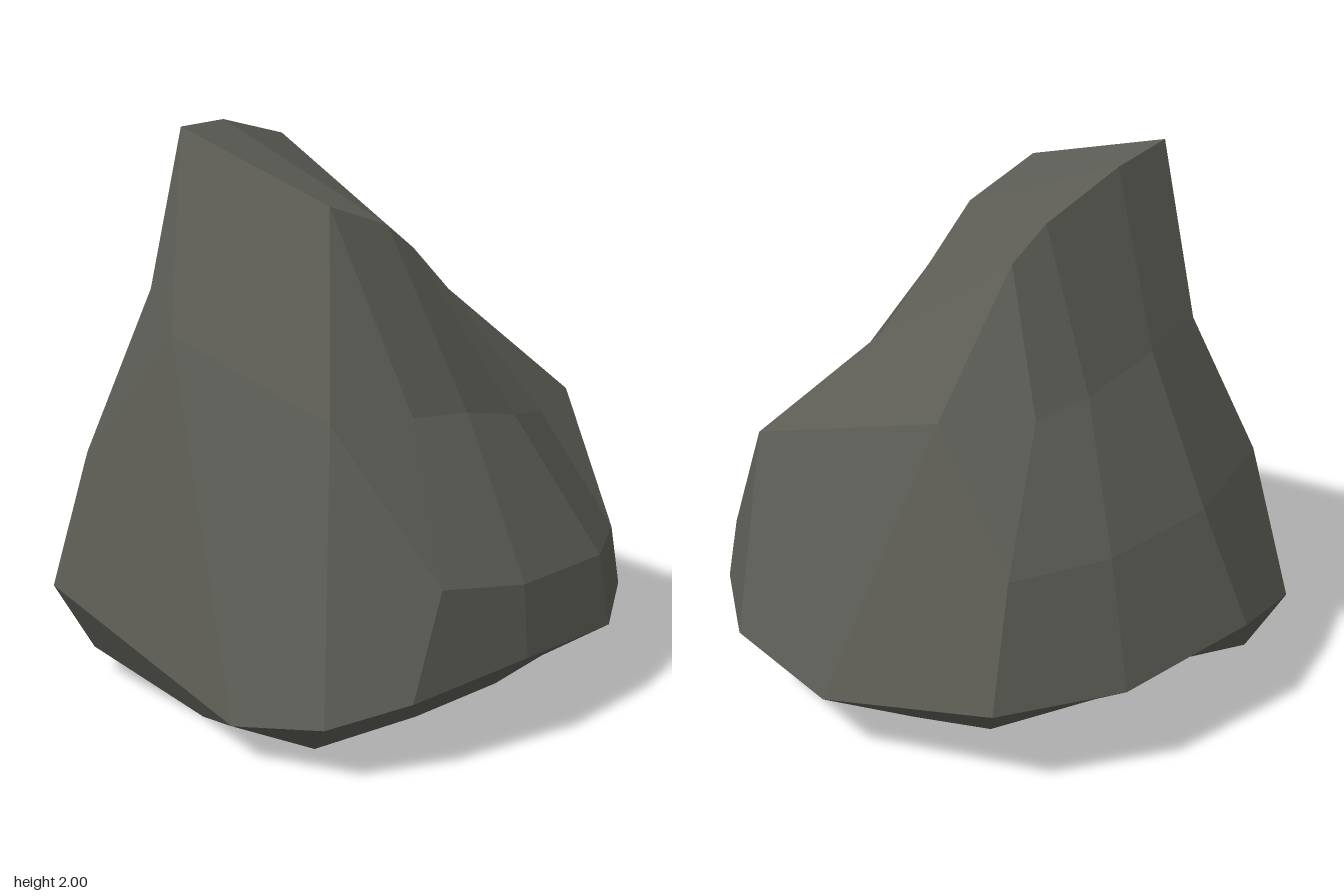
import * as THREE from 'three';

// Cross-section loops, running from the front left corner round the back to the front middle
const rim = [
  [.5, .22, .82], [.69, .28, .6], [.87, .345, .2], [.92, .32, -.25], [.75, .31, -.62], [.4, .31, -.85],
  [-.06, .25, -.86], [-.66, .36, -.65], [-.88, .38, -.25], [-.92, .42, .31], [-.81, .35, .67], [.15, .15, .855],
];
const under = [
  [.31, .02, .62], [.6, .155, .45], [.73, .205, .17], [.71, .18, -.16], [.64, .16, -.5], [.3, .15, -.62],
  [-.25, .16, -.62], [-.55, .22, -.55], [-.7, .25, -.2], [-.72, .23, .25], [-.69, .12, .6], [-.17, 0, .62],
];
const floor = [[.36, .14, .3], [-.46, .15, .38]];

// Crest edges, front to back
const crestLeft = [[.23, 1.81, .42], [.25, 1.7, .13], [.17, 1.56, -.14], [.17, 1.37, -.36], [.49, .99, -.65]];
const crestRight = [[-.38, 2, .42], [-.43, 1.98, .14], [-.45, 1.88, -.21], [-.42, 1.77, -.33], [-.33, 1.27, -.57]];

// Flank rows, front to back
const leftFront = [.37, 1.16, .61];
const leftMid = [[.51, 1.14, .35], [.58, 1.12, .14], [.6, 1.05, -.12], [.58, 1, -.33]];
const leftLow = [[.73, .65, .5], [.85, .6, .2], [.88, .57, -.24], [.73, .53, -.59]];
const rightFront = [-.27, 1.35, .62];
const rightMid = [[-.55, 1.42, .4], [-.6, 1.39, .14], [-.6, 1.32, -.16], [-.55, 1.28, -.35]];
const rightLow = [[-.64, .88, .65], [-.8, .86, .2], [-.78, .83, -.23], [-.66, .83, -.58]];

// Quads joining two rows of equal length
const strip = (a, b) => a.slice(1).map((p, i) => [a[i], p, b[i + 1], b[i]]);

// Mesh of polygons, each with one flat normal and turned to face away from the middle
function facets(name, polygons, material) {
  const middle = new THREE.Vector3(0, .6, 0);
  const positions = [];
  const normals = [];
  for (const polygon of polygons) {
    const p = polygon.map((c) => new THREE.Vector3(...c));
    // Quads fold along their shorter diagonal
    if (p.length === 4 && p[1].distanceTo(p[3]) < p[0].distanceTo(p[2])) p.push(p.shift());
    const normal = new THREE.Vector3();
    for (let i = 2; i < p.length; i++) {
      normal.add(p[i - 1].clone().sub(p[0]).cross(p[i].clone().sub(p[0])));
    }
    normal.normalize();
    const centre = p.reduce((s, v) => s.add(v), new THREE.Vector3()).divideScalar(p.length);
    if (normal.dot(centre.sub(middle)) < 0) {
      p.reverse();
      p.unshift(p.pop());
      normal.negate();
    }
    for (let i = 2; i < p.length; i++) {
      for (const v of [p[0], p[i - 1], p[i]]) {
        positions.push(...v.toArray());
        normals.push(...normal.toArray());
      }
    }
  }
  const geometry = new THREE.BufferGeometry();
  geometry.setAttribute('position', new THREE.Float32BufferAttribute(positions, 3));
  geometry.setAttribute('normal', new THREE.Float32BufferAttribute(normals, 3));
  const mesh = new THREE.Mesh(geometry, material);
  mesh.name = name;
  return mesh;
}

// Side of the rock from crest edge down to the rim
const flank = (crest, front, mid, low, edge) => [
  [crest[0], mid[0], low[0], front],
  ...strip(crest.slice(0, 4), mid),
  [crest[3], crest[4], low[3], mid[3]],
  ...strip(mid, low),
  ...strip(low, edge),
];

export function createModel() {
  const stone = new THREE.MeshStandardMaterial({ color: 0x5e5e57 });
  stone.name = 'dark stone';
  const rock = new THREE.Group();
  rock.name = 'rock';
  const add = (name, polygons) => rock.add(facets(name, polygons, stone));

  add('crest', strip(crestLeft, crestRight));

  add('leftFlank', [
    ...flank(crestLeft, leftFront, leftMid, leftLow, rim.slice(1, 5)),
    [leftFront, leftLow[0], rim[1], rim[0]],
  ]);

  add('rightFlank', flank(crestRight, rightFront, rightMid, rightLow, rim.slice(7, 11).reverse()));

  add('frontFace', [
    [crestRight[0], rightFront, leftFront, crestLeft[0]],
    [rightFront, rim[11], rim[0], leftFront],
    [rightFront, rightLow[0], rim[10], rim[11]],
  ]);

  add('backFace', [
    [crestRight[4], crestLeft[4], rim[5], rim[6]],
    [crestRight[4], rim[6], rim[7], rightLow[3]],
    [crestLeft[4], leftLow[3], rim[4], rim[5]],
  ]);

  add('lowerBevel', strip([...rim, rim[0]], [...under, under[0]]));

  add('underside', [
    [under[0], under[1], under[2], floor[0]],
    [under[11], under[0], floor[0], floor[1]],
    [under[10], under[11], floor[1]],
    [under[9], under[10], floor[1]],
    [floor[0], ...under.slice(2, 10), floor[1]],
  ]);

  return rock;
}
